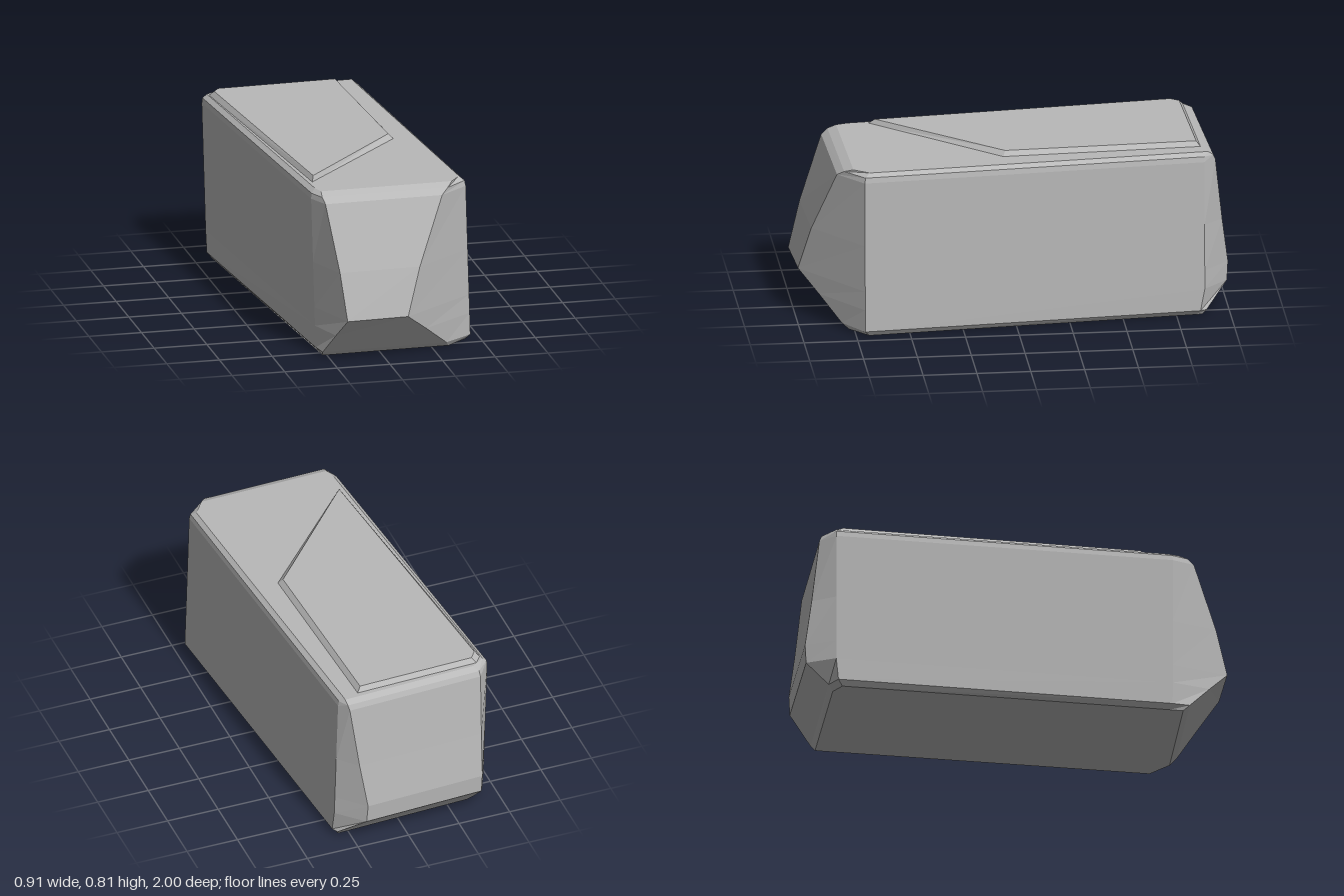
import * as THREE from 'three';

// Skin a stack of convex outlines (each listed counter-clockwise from above) and cap both ends
function loft(rings) {
  const pos = [];
  const tri = (a, b, c) => pos.push(...a, ...b, ...c);
  const n = rings[0].length;
  for (let r = 0; r < rings.length - 1; r++) {
    const lo = rings[r], hi = rings[r + 1];
    for (let i = 0; i < n; i++) {
      const j = (i + 1) % n;
      tri(lo[i], lo[j], hi[j]);
      tri(lo[i], hi[j], hi[i]);
    }
  }
  const bottom = rings[0], top = rings[rings.length - 1];
  for (let i = 1; i < n - 1; i++) {
    tri(top[0], top[i], top[i + 1]);
    tri(bottom[0], bottom[i + 1], bottom[i]);
  }
  const g = new THREE.BufferGeometry();
  g.setAttribute('position', new THREE.Float32BufferAttribute(pos, 3));
  g.computeVertexNormals();
  return g;
}

// Plan outline of the skewed block at height y, reaching from zBack to zFront
function outline([y, zFront, zBack, inset]) {
  const lean = -0.03 * y;
  const sideBack = Math.max(-0.88, zBack + 0.03);
  return [
    [-0.31 + (zFront - 0.74) * 0.42 + inset, y, zFront],
    [0.44 - (zFront - 0.72) * 1.25 - inset, y, zFront - 0.015],
    [0.452 + lean - inset, y, 0.71 - inset],
    [0.325 + lean - inset, y, sideBack],
    [0.32 + Math.min(0, zBack + 0.88) - inset, y, zBack],
    [-0.37 + lean + inset, y, zBack + 0.03],
    [-0.432 + lean + inset, y, Math.max(-0.83, zBack + 0.07)],
    [-0.29 + lean + inset, y, 0.74 - inset],
  ];
}

export function createModel() {
  const group = new THREE.Group();
  const grey = new THREE.MeshStandardMaterial({ color: 0xb8b8b8, flatShading: true });
  grey.name = 'stone grey';

  // Main block: height, front z, back z, edge inset
  const levels = [
    [0, 0.79, -0.87, 0.02],
    [0.025, 0.82, -0.89, 0],
    [0.13, 0.915, -0.995, 0],
    [0.22, 1, -1, 0],
    [0.44, 0.945, -0.97, 0],
    [0.745, 0.84, -0.935, 0],
    [0.77, 0.81, -0.925, 0.004],
    [0.787, 0.77, -0.9, 0.025],
  ];
  const block = new THREE.Mesh(loft(levels.map(outline)), grey);
  block.name = 'block';
  group.add(block);

  // Slightly raised rear part of the top, cut off diagonally at the front
  const edge = [[-0.27, 0.6], [0.23, 0.04], [0.19, -0.86], [-0.38, -0.84], [-0.41, -0.8]];
  const plateau = [[0.77, 1.06], [0.785, 1.05], [0.809, 0.98]].map(([y, s]) =>
    edge.map(([x, z]) => [-0.1 + (x + 0.1) * s, y, -0.3 + (z + 0.3) * (1 + (s - 1) * 0.5)]));
  const raisedTop = new THREE.Mesh(loft(plateau), grey);
  raisedTop.name = 'raisedTop';
  group.add(raisedTop);

  return group;
}
